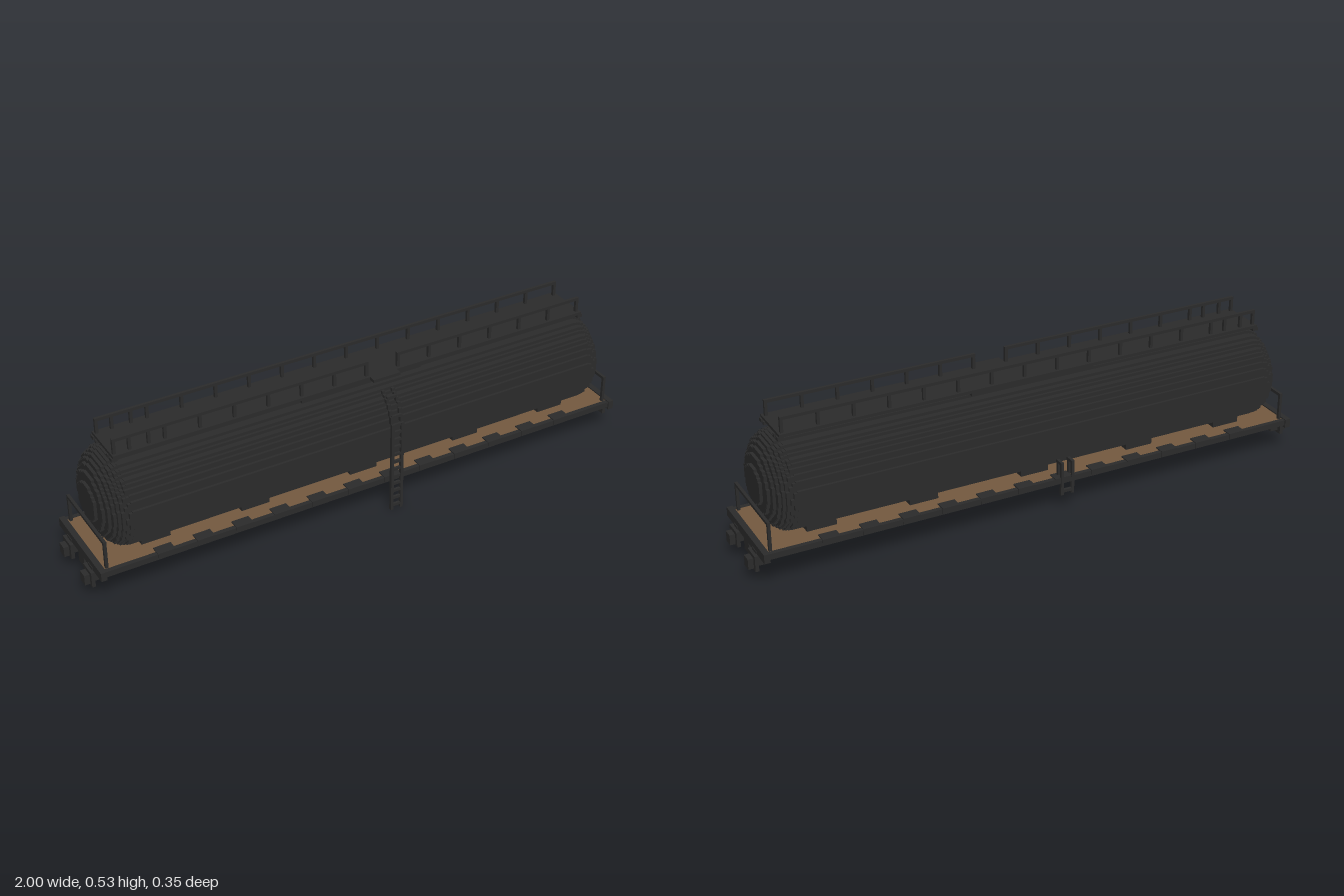
import * as THREE from 'three';

export function createModel() {
  const model = new THREE.Group();
  const steel = new THREE.MeshStandardMaterial({ color: 0x2b2b2b });
  steel.name = 'dark steel';
  const wood = new THREE.MeshStandardMaterial({ color: 0x755a40 });
  wood.name = 'brown deck boards';
  const U = 0.0096; // size of one block step
  const ZC = -0.005; // middle line of the wagon

  const part = (name) => {
    const g = new THREE.Group();
    g.name = name;
    model.add(g);
    return g;
  };
  // box given by its limits on each axis
  const box = (parent, name, x0, x1, y0, y1, z0, z1, mat = steel) => {
    const m = new THREE.Mesh(new THREE.BoxGeometry(x1 - x0, y1 - y0, z1 - z0), mat);
    m.position.set((x0 + x1) / 2, (y0 + y1) / 2, (z0 + z1) / 2);
    m.name = name;
    parent.add(m);
    return m;
  };

  // Stepped ellipse outline, built row by row
  const steppedDisc = (rz, ry) => {
    const rows = Math.max(3, Math.round((2 * ry) / U));
    const h = (2 * ry) / rows;
    const right = [];
    for (let i = 0; i < rows; i++) {
      const y = -ry + i * h;
      const t = (y + h / 2) / ry;
      const w = (Math.round((rz * Math.sqrt(1 - t * t)) / U - 0.4) + 0.4) * U;
      right.push([w, y], [w, y + h]);
    }
    const left = right.map(([w, y]) => [-w, y]).reverse();
    return new THREE.Shape([...right, ...left].map(([a, b]) => new THREE.Vector2(a, b)));
  };

  // Tank: nested slices, longer as they get narrower, form the stepped domes
  const tank = part('tank');
  const slices = 9;
  for (let i = 0; i < slices; i++) {
    const half = 0.85 + i * U * 1.1;
    const k = Math.sqrt(1 - Math.pow(i / (slices - 0.3), 2));
    const geo = new THREE.ExtrudeGeometry(steppedDisc(0.167 * k, 0.157 * k), {
      depth: half * 2, bevelEnabled: false,
    });
    geo.translate(0, 0, -half).rotateY(Math.PI / 2);
    const m = new THREE.Mesh(geo, steel);
    m.name = 'tankSlice';
    m.position.set(0, 0.285, ZC);
    tank.add(m);
  }

  // Underframe: boards, side sills, centre sill, crossbars and end beams
  const frame = part('underframe');
  box(frame, 'deckBoards', -0.95, 0.95, 0.117, 0.127, ZC - 0.15, ZC + 0.15, wood);
  for (const s of [-1, 1]) {
    const z = ZC + s * 0.155;
    box(frame, 'sideSill', -0.955, 0.955, 0.108, 0.128, z - 0.008, z + 0.008);
    box(frame, 'lowerSill', -0.955, 0.955, 0.104, 0.117, ZC + s * 0.125 - 0.008, ZC + s * 0.125 + 0.008);
    box(frame, 'centreSill', -0.955, 0.955, 0.1, 0.117, ZC + s * 0.022 - 0.009, ZC + s * 0.022 + 0.009);
    const e = s * 0.96;
    box(frame, 'endBeam', e - 0.01, e + 0.01, 0.1, 0.131, ZC - 0.167, ZC + 0.167);
    box(frame, 'bogieMount', s * 0.4 - 0.05, s * 0.4 + 0.05, 0.098, 0.117, ZC - 0.07, ZC + 0.07);
  }
  for (let i = 0; i < 14; i++) {
    const x = -0.884 + i * 0.136;
    box(frame, 'crossbar', x - 0.014, x + 0.014, 0.1, 0.117, ZC - 0.145, ZC + 0.145);
    for (const s of [-1, 1]) {
      const z = ZC + s * 0.146;
      if (i > 0 && i < 13) box(frame, 'deckBracket', x - 0.03, x + 0.03, 0.11, 0.131, z - 0.019, z + 0.019);
    }
  }
  // Saddles carrying the tank
  for (const x of [-0.75, -0.4, 0, 0.4, 0.75])
    for (const s of [-1, 1])
      box(frame, 'saddle', x - 0.05, x + 0.05, 0.125, 0.155, ZC + s * 0.07 - 0.02, ZC + s * 0.07 + 0.02);

  // Buffers, coupler blocks and end handrails at both ends
  for (const s of [-1, 1]) {
    const end = part(s > 0 ? 'leftEndFittings' : 'rightEndFittings');
    const xbox = (name, a, b, ...r) => box(end, name, Math.min(s * a, s * b), Math.max(s * a, s * b), ...r);
    for (const side of [-1, 1]) {
      const z = ZC + side * 0.082;
      xbox('bufferStock', 0.94, 0.972, 0.057, 0.11, z - 0.017, z + 0.017);
      xbox('bufferPlate', 0.97, 0.982, 0.046, 0.1, z - 0.031, z + 0.031);
      xbox('bufferHead', 0.98, 1.0, 0.052, 0.088, z - 0.017, z + 0.017);
      xbox('bufferGusset', 0.94, 0.965, 0.09, 0.11, z - 0.045, z + 0.045);
      const p = ZC + side * 0.14;
      xbox('handrailPost', 0.935, 0.945, 0.127, 0.225, p - 0.005, p + 0.005);
    }
    xbox('handrailBar', 0.935, 0.945, 0.215, 0.225, ZC - 0.145, ZC + 0.145);
    xbox('couplerBlock', 0.935, 0.968, 0.056, 0.105, ZC - 0.022, ZC + 0.022);
    xbox('couplerBase', 0.935, 0.962, 0.076, 0.105, ZC - 0.035, ZC + 0.035);
  }

  // Walkway above the tank, with the platform at the ladder
  const walkway = part('walkway');
  box(walkway, 'walkwayFloor', -0.865, 0.865, 0.465, 0.475, -0.085, 0.075);
  box(walkway, 'ladderPlatform', 0.03, 0.13, 0.465, 0.475, 0.07, 0.098);
  for (const [a, b] of [[0.055, 0.075], [0.036, 0.045], [-0.052, -0.043], [-0.085, -0.065]]) {
    box(walkway, 'centreBearer', -0.22, 0.22, 0.455, 0.466, a, b);
    for (const s of [-1, 1])
      box(walkway, 'endBearer', s * 0.86 - 0.01, s * 0.86 + 0.01, 0.455, 0.466, a, b);
  }

  // Guard rails; the front one is open at the ladder
  const rails = part('guardRails');
  const posts = [-0.855, -0.74];
  for (let i = 0; i < 15; i++) posts.push(0.852 - i * 0.1183);
  for (const z of [0.06, -0.07]) {
    for (const x of posts) box(rails, 'railPost', x - 0.005, x + 0.005, 0.474, 0.525, z - 0.005, z + 0.005);
    const spans = z > 0 ? [[-0.86, 0.03], [0.137, 0.857]] : [[-0.86, 0.857]];
    for (const [a, b] of spans) box(rails, 'topRail', a, b, 0.518, 0.528, z - 0.005, z + 0.005);
  }

  // Front ladder, upright below and stepping back over the tank
  const ladder = part('ladder');
  const bends = [[0, 0.335, 0.168], [0.335, 0.36, 0.16], [0.36, 0.38, 0.151], [0.38, 0.398, 0.141],
    [0.398, 0.412, 0.13], [0.412, 0.422, 0.118], [0.42, 0.431, 0.106]];
  for (const [y0, y1, z] of bends)
    for (const x of [0.06, 0.096])
      box(ladder, 'ladderStile', x - 0.005, x + 0.005, y0, y1, z - 0.006, z + 0.005);
  for (let y = 0.012; y < 0.425; y += 0.0285) {
    const z = bends.find((b) => y < b[1])[2];
    box(ladder, 'ladderRung', 0.06, 0.096, y, y + 0.0095, z - 0.005, z + 0.004);
  }

  // Small step frame on the back
  const step = part('backStep');
  for (const x of [-0.102, -0.063]) {
    box(step, 'stepPost', x - 0.005, x + 0.005, 0.066, 0.185, -0.172, -0.162);
    box(step, 'stepArm', x - 0.005, x + 0.005, 0.175, 0.185, -0.165, -0.135);
    box(step, 'stepInnerPost', x - 0.005, x + 0.005, 0.125, 0.185, -0.149, -0.14);
  }
  box(step, 'stepTread', -0.102, -0.063, 0.075, 0.085, -0.172, -0.162);

  return model;
}
